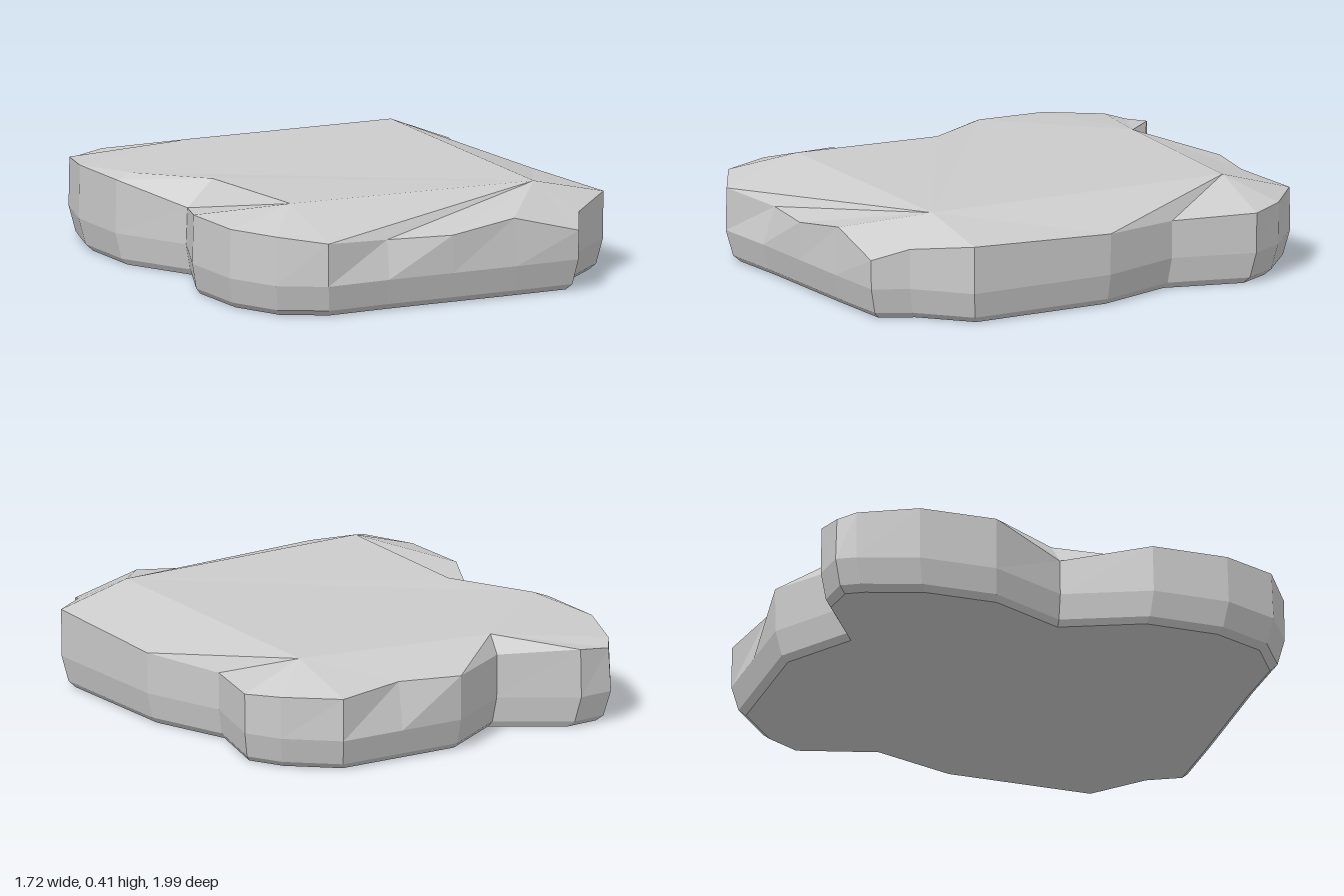
import * as THREE from 'three';

// Upper plateau corners of the slab: x, y, z
const T = {
  frontLeft: [0.54, 0.40, 0.65],
  backLeft: [0.555, 0.40, -0.68],
  backNotch: [-0.31, 0.385, -0.75],
  sideShoulder: [-0.79, 0.375, -0.31],
  sideNotch: [-0.58, 0.39, 0],
  frontRight: [-0.555, 0.41, 0.66],
};

// Outline, counter-clockwise from above: x, z, rim height, rim inset, plateau corner
const OUTLINE = [
  [-0.60, -0.98, 0.33, 0.995, T.backNotch],
  [-0.75, -0.965, 0.31, 0.99, T.backNotch],
  [-0.79, -0.89, 0.33, 0.995, T.backNotch],
  [-0.865, -0.645, 0.35, 0.995, T.backNotch],
  [-0.86, -0.32, 0.35, 0.995, T.sideShoulder],
  [-0.70, 0.00, 0.28, 0.99, T.sideNotch],
  [-0.845, 0.35, 0.33, 0.99, T.frontRight],
  [-0.835, 0.67, 0.33, 0.99, T.frontRight],
  [-0.735, 0.89, 0.33, 0.99, T.frontRight],
  [-0.55, 0.995, 0.305, 0.995, T.frontRight],
  [-0.27, 0.98, 0.285, 0.95, T.frontLeft],
  [0.02, 0.975, 0.285, 0.995, T.frontLeft],
  [0.31, 0.97, 0.325, 0.98, T.frontLeft],
  [0.59, 0.96, 0.25, 1, T.frontLeft],
  [0.66, 0.82, 0.295, 1, T.frontLeft],
  [0.86, 0.635, 0.325, 1, T.frontLeft],
  [0.85, 0.00, 0.30, 1, T.frontLeft],
  [0.73, -0.35, 0.285, 1, T.backLeft],
  [0.82, -0.69, 0.295, 1, T.backLeft],
  [0.74, -0.835, 0.305, 1, T.backLeft],
  [0.545, -1.00, 0.305, 0.995, T.backLeft],
  [0.26, -0.995, 0.32, 0.945, T.backLeft],
  [-0.02, -0.99, 0.315, 1, T.backNotch],
  [-0.31, -0.80, 0.31, 1, T.backNotch],
];

function createSlabGeometry() {
  const positions = [];
  const tri = (a, b, c) => {
    if (a !== b && b !== c && a !== c) positions.push(...a, ...b, ...c);
  };
  const ring = (y, s) => OUTLINE.map(([x, z]) => [x * s, y, z * s]);

  // Cross-sections from the ground to the plateau
  const rings = [
    ring(0, 0.945),
    ring(0.025, 0.972),
    ring(0.13, 0.998),
    OUTLINE.map(([x, z, y, s]) => [x * s, y, z * s]),
    OUTLINE.map((p) => p[4]),
  ];

  // Walls, rim and sloping shoulders
  const n = OUTLINE.length;
  for (let r = 0; r < rings.length - 1; r++) {
    const [low, high] = [rings[r], rings[r + 1]];
    for (let i = 0; i < n; i++) {
      const j = (i + 1) % n;
      tri(low[i], low[j], high[j]);
      tri(low[i], high[j], high[i]);
    }
  }

  // Flat underside
  for (let i = 0; i < n; i++) tri([0, 0, 0], rings[0][(i + 1) % n], rings[0][i]);

  // Plateau fanned from its front left corner
  const top = Object.values(T);
  for (let i = 1; i < top.length - 1; i++) tri(top[0], top[i], top[i + 1]);

  const geometry = new THREE.BufferGeometry();
  geometry.setAttribute('position', new THREE.Float32BufferAttribute(positions, 3));
  geometry.computeVertexNormals();
  return geometry;
}

export function createModel() {
  const group = new THREE.Group();
  group.name = 'flatRock';
  const material = new THREE.MeshStandardMaterial({ color: 0xcccccc, flatShading: true });
  const slab = new THREE.Mesh(createSlabGeometry(), material);
  slab.name = 'rockSlab';
  group.add(slab);
  return group;
}
